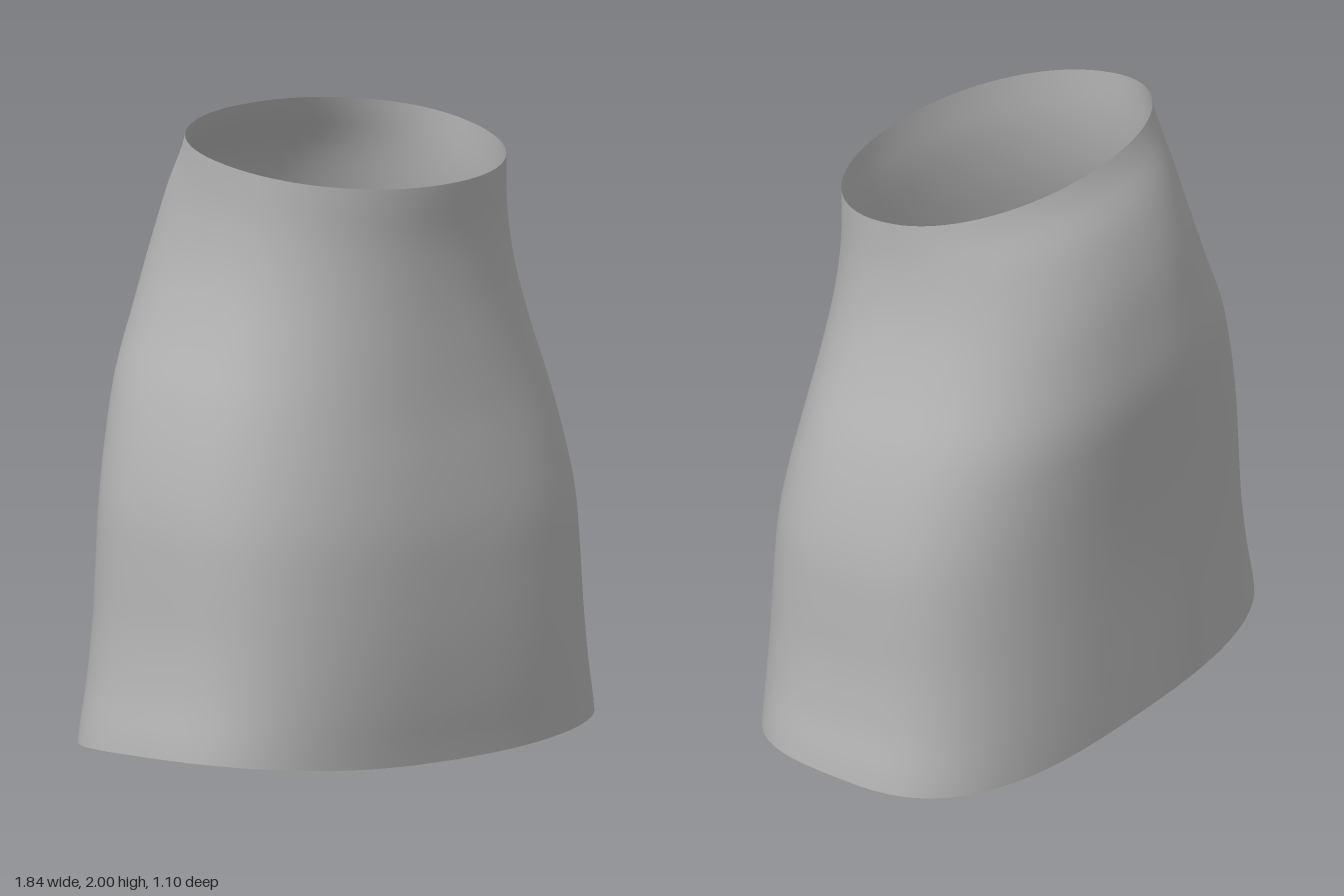
import * as THREE from 'three';

// Smooth profiles sampled at equal steps from hem to waist
const profile = (values) => {
  const curve = new THREE.SplineCurve(values.map((v, i) => new THREE.Vector2(i, v)));
  return (t) => curve.getPoint(t).y;
};
const halfWidth = profile([0.922, 0.885, 0.862, 0.853, 0.84, 0.803, 0.748, 0.675, 0.615, 0.582, 0.574]);
const frontDepth = profile([0.53, 0.543, 0.55, 0.55, 0.545, 0.525, 0.5, 0.482, 0.468, 0.465, 0.48]);
const backDepth = profile([0.51, 0.511, 0.512, 0.516, 0.525, 0.54, 0.553, 0.538, 0.51, 0.452, 0.36]);

const ROWS = 40;
const SIDES = 72;
const lerp = THREE.MathUtils.lerp;
const signedPower = (v, p) => Math.sign(v) * Math.abs(v) ** p;

// Open fabric tube: rounded-box section at the hem, near-ellipse at the waist
function skirtGeometry() {
  const positions = [];
  const indices = [];
  for (let i = 0; i <= ROWS; i++) {
    const t = i / ROWS;
    const w = halfWidth(t);
    const power = 2 / lerp(3, 2.1, t);
    const midZ = 0.03 * t;
    for (let j = 0; j < SIDES; j++) {
      const angle = (j / SIDES) * Math.PI * 2;
      const sx = signedPower(Math.sin(angle), power);
      const sz = signedPower(Math.cos(angle), power);
      const z = midZ + sz * (sz > 0 ? frontDepth(t) - midZ : backDepth(t) + midZ);
      // The hem dips at front and back; the waist tilts up towards the back
      const hemY = 0.06 - (1 - sx * sx) * (sz > 0 ? 0.06 : 0.03);
      const waistY = 1.927 - 0.202 * z;
      positions.push(w * sx, lerp(hemY, waistY, t), z);
      if (i < ROWS) {
        const a = i * SIDES + j;
        const b = i * SIDES + ((j + 1) % SIDES);
        indices.push(a, b, b + SIDES, a, b + SIDES, a + SIDES);
      }
    }
  }
  const geometry = new THREE.BufferGeometry();
  geometry.setAttribute('position', new THREE.Float32BufferAttribute(positions, 3));
  geometry.setIndex(indices);
  geometry.computeVertexNormals();
  return geometry;
}

export function createModel() {
  const fabric = new THREE.MeshStandardMaterial({ color: 0xb4b4b4, side: THREE.DoubleSide });
  fabric.name = 'grey fabric';
  const skirt = new THREE.Mesh(skirtGeometry(), fabric);
  skirt.name = 'skirt';
  const group = new THREE.Group();
  group.name = 'skirtModel';
  group.add(skirt);
  return group;
}
